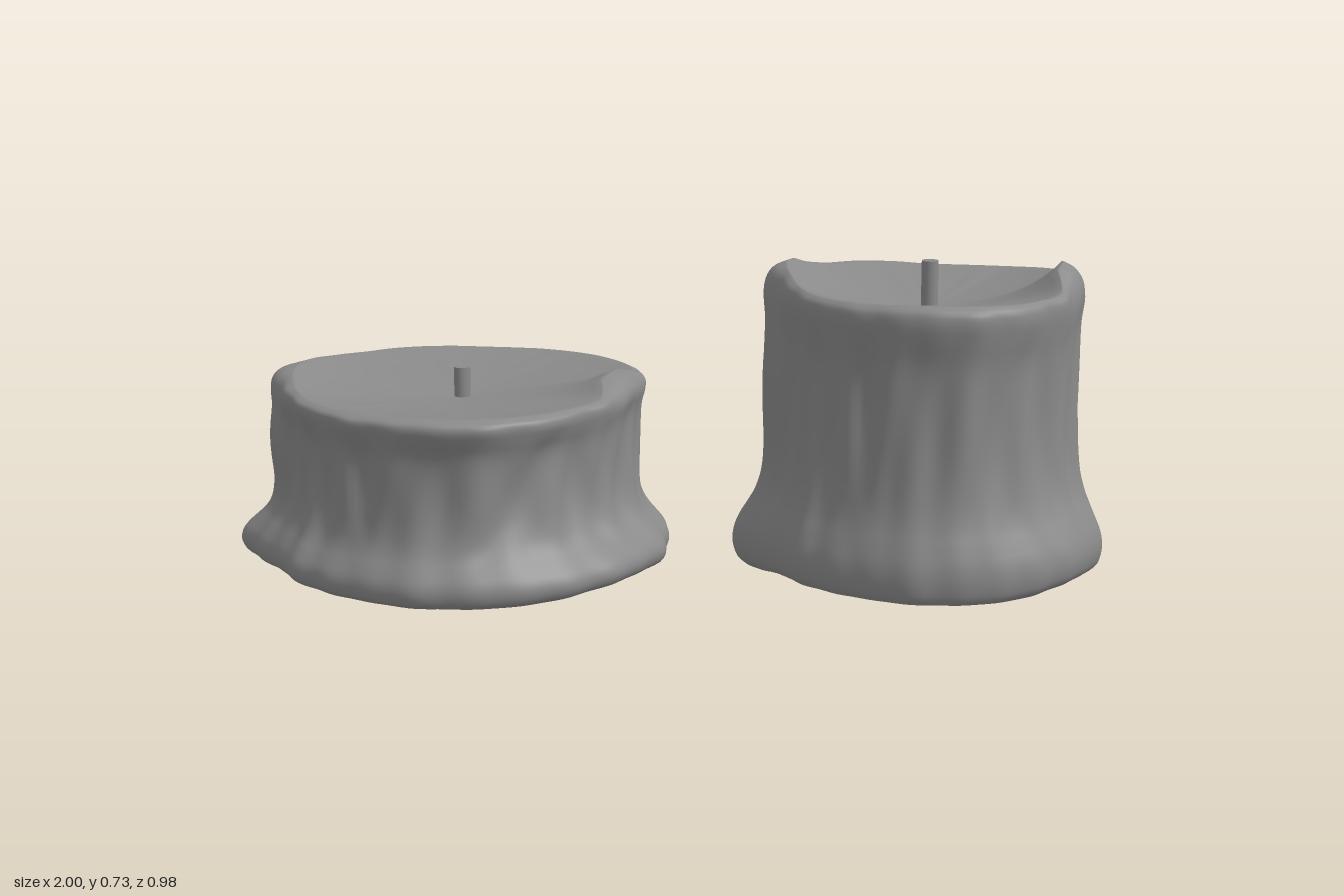
import * as THREE from 'three';

// Outlines sampled every 15 degrees, from +x round through the front (+z)
const BASE = [.475, .487, .483, .493, .497, .493, .492, .475, .468, .463, .457, .478,
  .53, .525, .515, .518, .521, .497, .488, .495, .517, .462, .47, .48];
const RIM = [.425, .422, .418, .425, .45, .47, .465, .452, .434, .423, .417, .43,
  .455, .43, .417, .426, .44, .448, .447, .468, .46, .437, .425, .427];
const RIM_Y = [.457, .46, .431, .428, .429, .431, .432, .43, .428, .428, .433, .445,
  .452, .447, .434, .425, .422, .418, .413, .413, .416, .422, .428, .434];
// Wall profile from foot to lip: height fraction, foot blend, lip blend
const PROFILE = [[0, .68, 0], [.025, .9, 0], [.075, 1, 0], [.13, .92, 0], [.19, .66, 0], [.25, .38, 0],
  [.32, .18, 0], [.42, .05, 0], [.55, 0, 0], [.7, 0, .05], [.8, 0, .25], [.88, 0, .7], [.94, 0, 1],
  [.98, 0, .8], [1, 0, -.2]];
// Drip grooves: angle, slant over the height, half width (degrees), depth
const GROOVES = [[66, -14, 6, .022], [38, 4, 7, .016], [-21, 5, 7, .018], [-63, -5, 7, .02], [95, -6, 8, .012],
  [113, 5, 4, .01], [135, 3, 5, .018], [160, -4, 6, .015], [206, 8, 7, .02], [236, -8, 6, .018],
  [252, 3, 4, .01], [268, 10, 7, .016], [316, -6, 4, .01]];
const SIDES = 180, RINGS = 48, CAP = 18, DEG = Math.PI / 180;

function catmull(a, b, c, d, t) {
  return b + .5 * t * (c - a + t * (2 * a - 5 * b + 4 * c - d + t * (3 * (b - c) + d - a)));
}
function around(table, deg) {
  const n = table.length, p = (((deg % 360) + 360) % 360) / 360 * n, i = Math.floor(p);
  const at = k => table[(i + k + n) % n];
  return catmull(at(-1), at(0), at(1), at(2), p - i);
}
function profile(u) {
  const n = PROFILE.length, p = u * (n - 1), i = Math.min(Math.floor(p), n - 2);
  const at = k => PROFILE[Math.min(Math.max(i + k, 0), n - 1)];
  return [0, 1, 2].map(c => catmull(at(-1)[c], at(0)[c], at(1)[c], at(2)[c], p - i));
}
const bump = (deg, centre, width) => {
  const d = ((deg - centre + 540) % 360 + 360) % 360 - 180;
  return Math.exp(-d * d / (width * width));
};
// Irregular ripple made of three waves
const ripple = (deg, shift) => (Math.sin(deg * DEG * 11 + shift) + Math.sin(deg * DEG * 17 - shift * 2)
  + Math.sin(deg * DEG * 26 + shift * 3)) / 3;

// Point on the waxy wall
function wallPoint(u, deg) {
  const [h, foot, lip] = profile(u);
  const rim = around(RIM, deg) + .005 * ripple(deg, 4), top = around(RIM_Y, deg);
  const base = around(BASE, deg) + .007 * ripple(deg, 1);
  let wall = .95 * (around(RIM, deg - 15) + 2 * around(RIM, deg) + around(RIM, deg + 15)) / 4;
  const mid = Math.max(0, Math.sin(Math.PI * Math.min(1, h * 1.03))) ** .7;
  wall += mid * .012 * ripple(deg, h * 2);
  wall += .032 * bump(deg, 180, 22) * Math.exp(-(((h - .65) / .28) ** 2));
  for (const [c, slant, w, depth] of GROOVES)
    wall -= depth * mid * (1 - foot * .7) * bump(deg, c + slant * (h - .5) * 2, w);
  let r = wall + (base - wall) * foot + (rim - wall) * lip;
  // The raised humps of the rim roll inwards
  const hump = Math.min(1, Math.max(0, (top - .43) / .025));
  r -= .045 * hump * Math.max(0, (h - .86) / .14) ** 2;
  const low = .016 - .012 * bump(deg, 176, 16) + .006 * bump(deg, 35, 20);
  return [r, low + (top - low) * h];
}

// Closed rings of points joined into a smooth skin, with a fan at the last centre
function skin(rows, centreY, flip) {
  const pos = [], idx = [];
  const tri = (a, b, c) => flip ? idx.push(a, c, b) : idx.push(a, b, c);
  rows.forEach(row => row.forEach(([r, y], j) => {
    const t = j / SIDES * 2 * Math.PI;
    pos.push(r * Math.cos(t), y, r * Math.sin(t));
  }));
  const last = (rows.length - 1) * SIDES, tip = pos.length / 3;
  pos.push(0, centreY, 0);
  for (let j = 0; j < SIDES; j++) {
    const k = (j + 1) % SIDES;
    for (let i = 0; i < rows.length - 1; i++) {
      const a = i * SIDES, b = a + SIDES;
      tri(a + j, b + j, a + k);
      tri(a + k, b + j, b + k);
    }
    tri(last + j, tip, last + k);
  }
  const g = new THREE.BufferGeometry();
  g.setAttribute('position', new THREE.Float32BufferAttribute(pos, 3));
  g.setIndex(idx);
  g.computeVertexNormals();
  return g;
}

function ring(fn) {
  return Array.from({ length: SIDES }, (_, j) => fn(j / SIDES * 360));
}

export function createModel() {
  const model = new THREE.Group();
  const material = new THREE.MeshStandardMaterial({ color: 0x8a8a8a });
  const bowlY = .385, edgeY = .422;

  // Wall rings, then the sagging melted top
  const rows = [];
  for (let i = 0; i <= RINGS; i++) rows.push(ring(d => wallPoint(i / RINGS, d)));
  for (let i = 1; i < CAP; i++) {
    const s = 1 - i / CAP;
    rows.push(ring(d => {
      const [r, y] = wallPoint(1, d);
      const wrinkle = .004 * ripple(d, 2) * s * s * (1 - s);
      return [r * s, bowlY + (edgeY - bowlY) * s ** 1.2 + (y - edgeY) * s ** 4 + wrinkle];
    }));
  }
  const waxGeometry = skin(rows, bowlY, false);
  const undersideGeometry = skin([rows[0], ring(d => [wallPoint(0, d)[0] * .85, .018])], .018, true);

  // Same wax form, one low and wide, one tall and narrow
  function candle(name, x, size, wickTop) {
    const group = new THREE.Group();
    group.name = name;
    const add = (part, geometry) => {
      const mesh = new THREE.Mesh(geometry, material);
      mesh.name = part;
      group.add(mesh);
      return mesh;
    };
    add('wax', waxGeometry).scale.set(...size);
    add('underside', undersideGeometry).scale.set(...size);
    const foot = bowlY * size[1] - .02;
    add('wick', new THREE.CylinderGeometry(.019, .019, wickTop - foot, 16)).position.y = (wickTop + foot) / 2;
    group.position.x = x;
    model.add(group);
  }
  candle('wideCandle', -.47, [1, 1, 1], .455);
  candle('tallCandle', .6, [.835, 1.58, .8], .72);
  return model;
}
